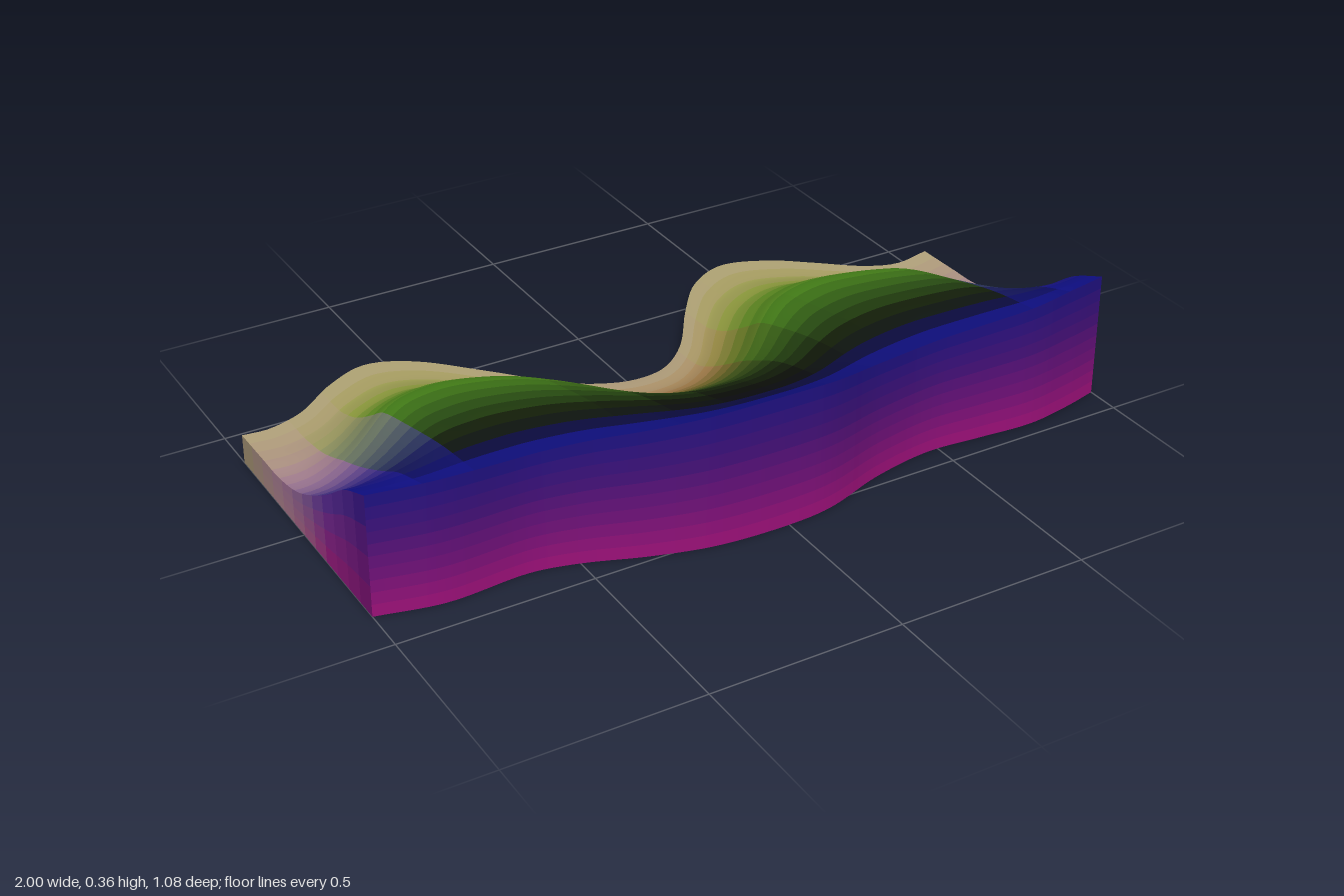
import * as THREE from 'three';

// Smooth height-of-x function through [x, y] points
function curve(pts) {
  const n = pts.length - 1;
  const slope = i => {
    const a = pts[Math.max(i - 1, 0)], b = pts[Math.min(i + 1, n)];
    return (b[1] - a[1]) / (b[0] - a[0]);
  };
  return x => {
    let i = 0;
    while (i < n - 1 && x > pts[i + 1][0]) i++;
    const [x0, y0] = pts[i], [x1, y1] = pts[i + 1];
    const d = x1 - x0, t = THREE.MathUtils.clamp((x - x0) / d, 0, 1), s = 1 - t;
    return y0 * (1 + 2 * t) * s * s + y1 * t * t * (3 - 2 * t)
      + d * t * s * (slope(i) * s - slope(i + 1) * t);
  };
}

// Plan outline and height of the front crest, all along x
const backZ = curve([[-1, -.37], [-.93, -.365], [-.83, -.4], [-.72, -.485], [-.6, -.535], [-.48, -.485],
  [-.35, -.355], [-.2, -.195], [-.1, -.135], [-.02, -.12], [.06, -.14], [.15, -.22], [.25, -.365],
  [.35, -.485], [.47, -.543], [.6, -.5], [.7, -.425], [.8, -.345], [.89, -.31], [1, -.33]]);
const frontZ = curve([[-1, .38], [-.83, .415], [-.62, .405], [-.5, .43], [-.35, .485], [-.2, .525],
  [-.03, .537], [.12, .525], [.3, .465], [.47, .435], [.62, .445], [.77, .455], [.9, .435], [1, .41]]);
const crestY = curve([[-1, .32], [-.82, .327], [-.62, .315], [-.4, .335], [-.2, .352], [-.05, .357],
  [.1, .35], [.3, .318], [.46, .31], [.62, .322], [.85, .34], [1, .335]]);

// Rise from back edge (0) to crest (1) on the lobes, the bay and the two ends
const EDGE = 0.078;
const lobeRise = curve([[0, 0], [.1, .01], [.15, .035], [.25, .18], [.36, .44], [.44, .634], [.57, .763], [.78, .914], [1, 1]]);
const bayRise = curve([[0, 0], [.15, .04], [.3, .22], [.5, .5], [.61, .66], [.7, .76], [.885, .9], [1, 1]]);
const endRise = curve([[0, 0], [.18, .01], [.31, .02], [.45, .105], [.58, .28], [.72, .533], [.85, .805], [1, 1]]);

const endWeight = x => THREE.MathUtils.smoothstep(Math.abs(x), .68, 1);
const bayWeight = x => 1 - THREE.MathUtils.smoothstep(Math.abs(x + .03), .04, .4);
const zAt = (x, v) => THREE.MathUtils.lerp(backZ(x), frontZ(x), v);
function heightAt(x, v) {
  const e = endWeight(x), b = bayWeight(x);
  const rise = e * endRise(v) + b * bayRise(v) + (1 - e - b) * lobeRise(v);
  return EDGE + rise * (crestY(x) - EDGE);
}

// Evenly spaced colour ramp
function ramp(...hexes) {
  const cols = hexes.map(h => new THREE.Color(h));
  return t => {
    const s = t * (cols.length - 1), i = Math.min(Math.floor(s), cols.length - 2);
    return cols[i].clone().lerp(cols[i + 1], s - i);
  };
}
const lobeColor = ramp(0xb3a57c, 0xa9a05f, 0x96a640, 0x6a9c26, 0x4b8a1a, 0x3a6e16, 0x284c12, 0x142008, 0x0a0a14, 0x101090);
const bayColor = ramp(0xb0a080, 0xb09368, 0xb08450, 0x857030, 0x4a5c1c, 0x2a4412, 0x14200a, 0x0c0e08, 0x0a0a14, 0x101090);
const endColor = ramp(0xb3a57c, 0xb39c80, 0xb09088, 0xae8098, 0xa070a0, 0x7a50a0, 0x4a3098, 0x221894, 0x101090, 0x101090);
function topColor(u, v) {
  const x = 1 - 2 * u;
  return lobeColor(v).lerp(bayColor(v), bayWeight(x)).lerp(endColor(v), endWeight(x));
}
const faceColor = ramp(0xa01078, 0x701078, 0x401078, 0x141080);
const floorColor = ramp(0x8a8066, 0x80606c, 0x801068, 0x801068);
const sideLow = ramp(0xa4966f, 0xb08090, 0xa81880, 0x801070);
const sideHigh = ramp(0xa4966f, 0xa87898, 0x5030a0, 0x141088);

// Surface P(u, v), split into colour patches that share smooth normals
function surface(name, P, [cu, cv], [nu, nv], colorAt) {
  const group = new THREE.Group();
  group.name = name;
  const at = (u, v) => new THREE.Vector3(...P(THREE.MathUtils.clamp(u, 0, 1), THREE.MathUtils.clamp(v, 0, 1)));
  const e = 1e-3;
  for (let a = 0; a < cu; a++) for (let b = 0; b < cv; b++) {
    const pos = [], nor = [], idx = [];
    for (let j = 0; j <= nv; j++) for (let i = 0; i <= nu; i++) {
      const u = (a + i / nu) / cu, v = (b + j / nv) / cv;
      const du = at(u + e, v).sub(at(u - e, v)), dv = at(u, v + e).sub(at(u, v - e));
      pos.push(...at(u, v).toArray());
      nor.push(...du.cross(dv).normalize().toArray());
      if (i < nu && j < nv) {
        const k = j * (nu + 1) + i, m = k + nu + 1;
        idx.push(k, k + 1, m + 1, k, m + 1, m);
      }
    }
    const geo = new THREE.BufferGeometry();
    geo.setAttribute('position', new THREE.Float32BufferAttribute(pos, 3));
    geo.setAttribute('normal', new THREE.Float32BufferAttribute(nor, 3));
    geo.setIndex(idx);
    const color = colorAt((a + .5) / cu, (b + .5) / cv);
    const mesh = new THREE.Mesh(geo, new THREE.MeshStandardMaterial({ color }));
    mesh.name = name + 'Patch';
    group.add(mesh);
  }
  return group;
}

export function createModel() {
  const model = new THREE.Group();
  model.name = 'terrainBlock';

  // Rolling top, from the thin back edge up to the crest
  model.add(surface('slope', (u, v) => {
    const x = 1 - 2 * u;
    return [x, heightAt(x, v), zAt(x, v)];
  }, [16, 16], [6, 3], topColor));

  // Tall wavy front wall
  model.add(surface('frontWall', (u, v) => {
    const x = 2 * u - 1;
    return [x, v * crestY(x), frontZ(x)];
  }, [1, 10], [96, 1], (u, v) => faceColor(v)));

  // Low back rim around the lobes and the bay
  model.add(surface('backRim', (u, v) => {
    const x = 1 - 2 * u;
    return [x, v * EDGE, backZ(x)];
  }, [1, 1], [96, 1], () => new THREE.Color(0xa4966f)));

  // Flat underside
  model.add(surface('underside', (u, v) => {
    const x = 2 * u - 1;
    return [x, 0, zAt(x, v)];
  }, [1, 10], [96, 1], (u, v) => floorColor(v)));

  // Straight cut ends
  for (const side of [1, -1]) {
    model.add(surface(side > 0 ? 'leftEnd' : 'rightEnd', (u, v) => {
      const s = side > 0 ? u : 1 - u;
      return [side, s * heightAt(side, v), zAt(side, v)];
    }, [4, 12], [1, 4], (u, v) => sideLow(v).lerp(sideHigh(v), side > 0 ? u : 1 - u)));
  }
  return model;
}
